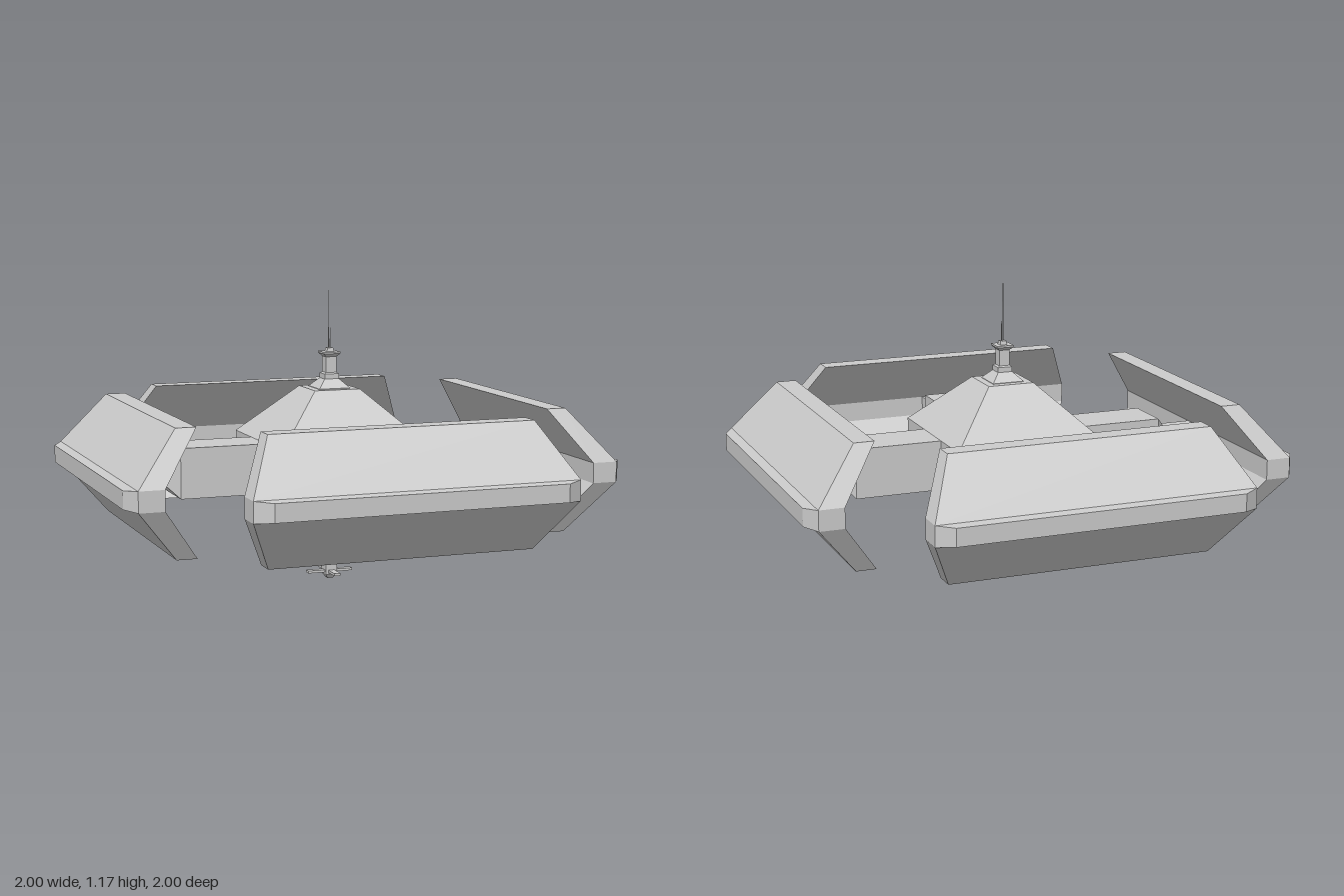
import * as THREE from 'three';

const material = new THREE.MeshStandardMaterial({ color: 0xcccccc, flatShading: true });
const MID = 0.48; // height of the horizontal symmetry plane

function add(parent, name, geometry, x = 0, y = 0, z = 0) {
  const mesh = new THREE.Mesh(geometry, material);
  mesh.name = name;
  mesh.position.set(x, y, z);
  parent.add(mesh);
  return mesh;
}

// Square solid from [half width, height] pairs, listed from bottom to top
function squareLathe(profile) {
  const points = profile.map(([r, y]) => new THREE.Vector2(r * Math.SQRT2, y));
  return new THREE.LatheGeometry(points, 4).rotateY(Math.PI / 4).toNonIndexed();
}

// Chevron panel: section points as [z, y, half length]
function panelGeometry() {
  const section = [
    [0.71, 0.725, 0.525], [0.79, 0.725, 0.525], [0.96, 0.52, 0.635], [1, 0.515, 0.57],
    [1, 0.445, 0.57], [0.96, 0.44, 0.635], [0.79, 0.235, 0.525], [0.71, 0.235, 0.525],
    [0.86, 0.44, 0.635], [0.86, 0.52, 0.635],
  ];
  const n = section.length;
  const positions = [];
  for (const side of [1, -1]) {
    for (const [z, y, half] of section) positions.push(side * half, y, z);
  }
  const index = [];
  const quad = (a, b, c, d) => index.push(a, b, c, a, c, d);
  // long faces
  for (let i = 0; i < n; i++) {
    const j = (i + 1) % n;
    quad(i, i + n, j + n, j);
  }
  // end faces
  for (const [a, b, c, d] of [[0, 1, 2, 9], [9, 2, 5, 8], [2, 3, 4, 5], [8, 5, 6, 7]]) {
    quad(a, b, c, d);
    quad(d + n, c + n, b + n, a + n);
  }
  const geometry = new THREE.BufferGeometry();
  geometry.setAttribute('position', new THREE.Float32BufferAttribute(positions, 3));
  geometry.setIndex(index);
  const flat = geometry.toNonIndexed();
  flat.computeVertexNormals();
  return flat;
}

export function createModel() {
  const model = new THREE.Group();
  model.name = 'spaceStation';

  // Central hub with a truncated pyramid above and below
  add(model, 'hub', squareLathe([
    [0, 0.18], [0.095, 0.18], [0.3, 0.38], [0.3, 0.58], [0.095, 0.78], [0, 0.78],
  ]));

  // Four arms, each carrying a chevron panel
  const armShape = squareLathe([[0.1, 0.28], [0.1, 0.65], [0.04, 0.71], [0.04, 0.87]]).rotateX(Math.PI / 2);
  const panelShape = panelGeometry();
  for (let i = 0; i < 4; i++) {
    const wing = new THREE.Group();
    wing.name = 'wing' + (i + 1);
    wing.rotation.y = i * Math.PI / 2;
    add(wing, 'arm', armShape, 0, MID, 0);
    add(wing, 'panel', panelShape);
    model.add(wing);
  }

  // Upper tower with its landing plate
  add(model, 'tower', squareLathe([
    [0.065, 0.775], [0.065, 0.782], [0.03, 0.817], [0.03, 0.837], [0.022, 0.842],
    [0.022, 0.905], [0.035, 0.918], [0.035, 0.925], [0.015, 0.925], [0.012, 0.94], [0, 0.94],
  ]));

  // Antennas
  for (const [name, offset, top, r] of [['tallAntenna', -0.004, 1.17, 0.002], ['shortAntenna', 0.006, 1.02, 0.002]]) {
    const height = top - 0.93;
    add(model, name, new THREE.CylinderGeometry(r * 0.6, r, height, 6), offset, 0.93 + height / 2, -offset);
  }

  // Lower stem flaring into the hub
  add(model, 'stem', squareLathe([
    [0, 0], [0.012, 0], [0.024, 0.018], [0.024, 0.1], [0.03, 0.115], [0.037, 0.14],
    [0.048, 0.163], [0.065, 0.182],
  ]));

  // Docking cross at the foot
  for (let i = 0; i < 4; i++) {
    const dock = new THREE.Group();
    dock.name = 'dock' + (i + 1);
    dock.rotation.y = i * Math.PI / 2;
    add(dock, 'dockArm', new THREE.BoxGeometry(0.026, 0.01, 0.075), 0, 0.03, 0.0575);
    model.add(dock);
  }

  return model;
}
